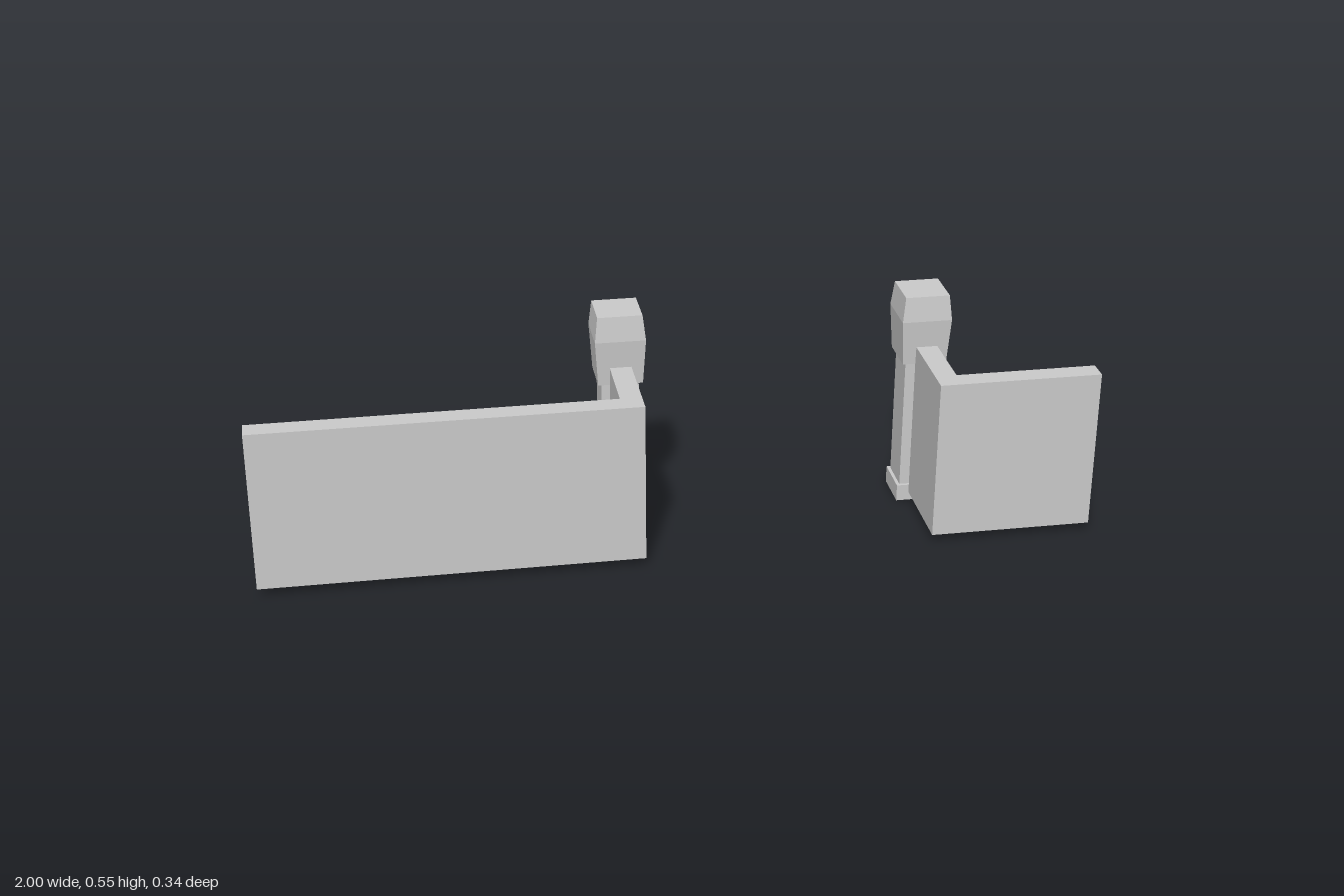
import * as THREE from 'three';

const material = new THREE.MeshStandardMaterial({
  color: 0xcccccc, flatShading: true, side: THREE.DoubleSide,
});

// Hollow L-shaped wall: an inverted U section (open below and at both ends)
// carried from the outer end, round the corner, back to the post.
function createWall(name, cornerX, endX) {
  const dir = Math.sign(endX - cornerX);
  const thick = 0.052, y0 = 0.022, y1 = 0.42, front = 0.17, back = -0.055;
  const innerX = cornerX + dir * thick;
  const stations = [ // outer x, outer z, inner x, inner z
    [endX, front, endX, front - thick],
    [cornerX, front, innerX, front - thick],
    [cornerX, back, innerX, back],
  ];
  const positions = [];
  for (const [ox, oz, ix, iz] of stations) {
    positions.push(ox, y0, oz, ox, y1, oz, ix, y1, iz, ix, y0, iz);
  }
  const index = [];
  for (let i = 0; i < 2; i++) {
    for (let j = 0; j < 3; j++) {
      const a = i * 4 + j, b = a + 4, c = a + 5, d = a + 1;
      if (dir > 0) index.push(a, d, c, a, c, b);
      else index.push(a, c, d, a, b, c);
    }
  }
  const geometry = new THREE.BufferGeometry();
  geometry.setAttribute('position', new THREE.Float32BufferAttribute(positions, 3));
  geometry.setIndex(index);
  const flat = geometry.toNonIndexed();
  flat.computeVertexNormals();
  const mesh = new THREE.Mesh(flat, material);
  mesh.name = name;
  return mesh;
}

// Square section from a profile of [half width, height] points
function squareLathe(name, profile) {
  const points = profile.map(([half, y]) => new THREE.Vector2(half * Math.SQRT2, y));
  const mesh = new THREE.Mesh(new THREE.LatheGeometry(points, 4, Math.PI / 4), material);
  mesh.name = name;
  return mesh;
}

// Post: hollow base open below, shaft, and a bulging head
function createPost(name, x) {
  const post = new THREE.Group();
  post.name = name;
  post.add(
    squareLathe('postBase', [[0.053, 0], [0.053, 0.042], [0.045, 0.042]]),
    squareLathe('postShaft', [[0.045, 0.042], [0.045, 0.375]]),
    squareLathe('postHead', [[0.045, 0.375], [0.054, 0.375], [0.061, 0.488], [0.054, 0.55], [0, 0.55]]),
  );
  post.position.set(x, 0, -0.109);
  return post;
}

export function createModel() {
  const model = new THREE.Group();
  model.name = 'gatewayWalls';
  model.add(
    createWall('longWall', -0.09, -1),
    createWall('shortWall', 0.608, 1),
    createPost('longWallPost', -0.116),
    createPost('shortWallPost', 0.631),
  );
  return model;
}
